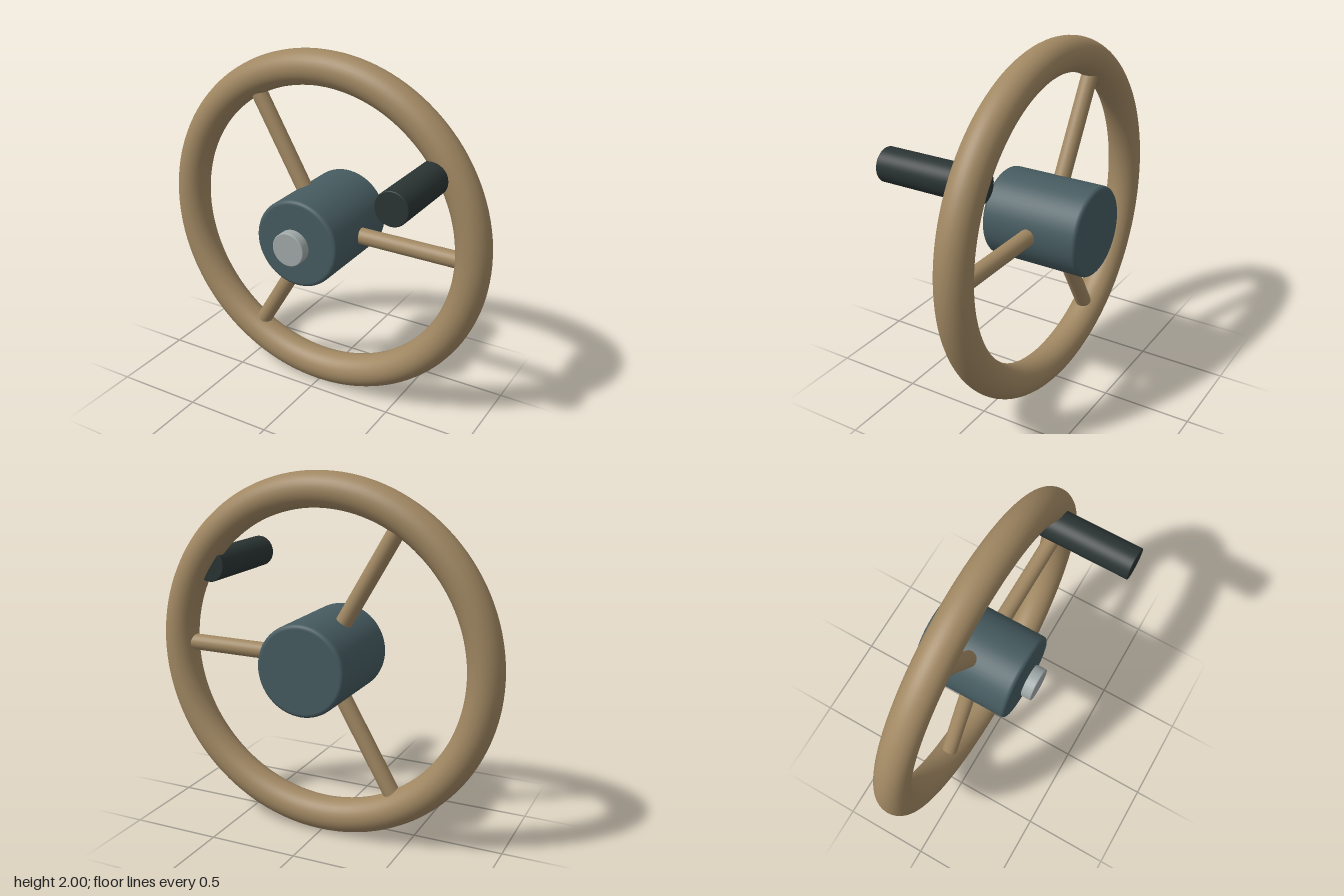
import * as THREE from 'three';

const mat = (name, color) => {
  const m = new THREE.MeshStandardMaterial({ color });
  m.name = name;
  return m;
};

// Cylinder along z from z0 to z1 with rounded end edges
function roundedRod(radius, z0, z1, bevel, segments) {
  const pts = [new THREE.Vector2(0, z0), new THREE.Vector2(radius - bevel * 1.05, z0)];
  const steps = 5;
  for (const end of [0, 1]) {
    const cz = end ? z1 - bevel : z0 + bevel;
    for (let i = 0; i <= steps; i++) {
      const a = (end ? 0 : -Math.PI / 2) + (i / steps) * Math.PI / 2;
      pts.push(new THREE.Vector2(radius - bevel + bevel * Math.cos(a), cz + bevel * Math.sin(a)));
    }
  }
  pts.push(new THREE.Vector2(radius - bevel * 1.05, z1), new THREE.Vector2(0, z1));
  return new THREE.LatheGeometry(pts, segments).rotateX(Math.PI / 2);
}

export function createModel() {
  const model = new THREE.Group();
  model.name = 'handwheel';

  const tan = mat('tan', 0xa08762);
  const slate = mat('slate', 0x465b60);
  const charcoal = mat('charcoal', 0x2a3433);
  const steel = mat('steel', 0xa0a8a8);

  const centreY = 1;
  const rimZ = -0.126;

  const add = (name, geometry, material, x, y, z) => {
    const mesh = new THREE.Mesh(geometry, material);
    mesh.name = name;
    mesh.position.set(x, y, z);
    model.add(mesh);
    return mesh;
  };

  // Round rim
  add('rim', new THREE.TorusGeometry(0.904, 0.096, 32, 128), tan, 0, centreY, rimZ);

  // Three spokes from the hub into the rim
  for (let i = 0; i < 3; i++) {
    const spoke = new THREE.CylinderGeometry(0.046, 0.046, 0.72, 24);
    spoke.rotateZ(-Math.PI / 2).translate(0.49, 0, 0);
    add('spoke' + (i + 1), spoke, tan, 0, centreY, rimZ).rotation.z = (i * Math.PI * 2) / 3;
  }

  // Hub, with the retaining nut standing just in front of it
  add('hub', roundedRod(0.25, -0.412, 0.16, 0.022, 64), slate, 0, centreY, 0);
  add('nut', roundedRod(0.096, 0.178, 0.24, 0.006, 32), steel, 0, centreY, 0);

  // Crank grip, passing into the rim
  add('grip', roundedRod(0.09, -0.16, 0.412, 0.006, 48), charcoal, 0.685, 1.455, 0);

  return model;
}
